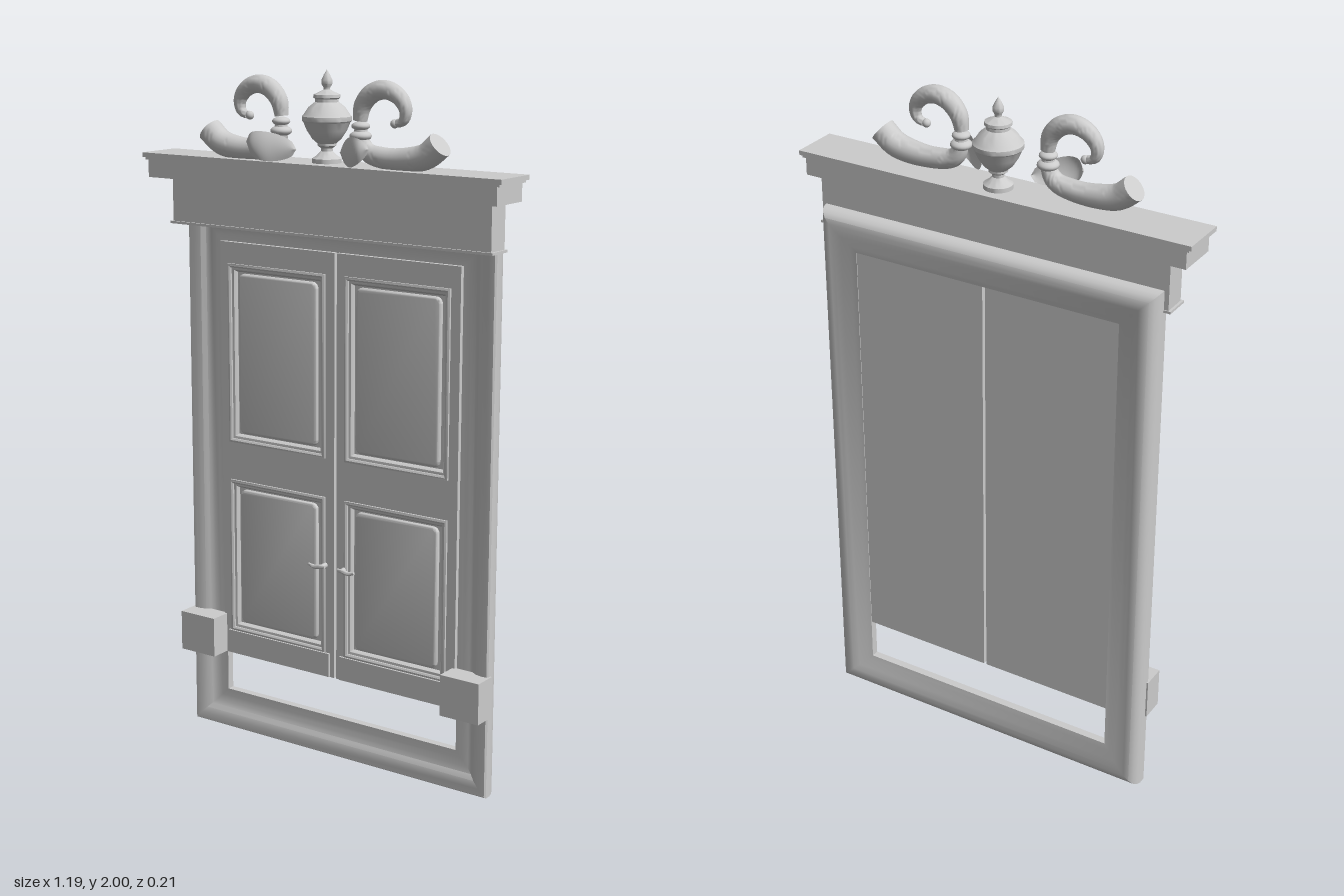
import * as THREE from 'three';
import { toCreasedNormals } from 'three/addons/utils/BufferGeometryUtils.js';

const stone = new THREE.MeshStandardMaterial({ color: 0xcccccc });
stone.name = 'pale grey';
const thinStone = new THREE.MeshStandardMaterial({ color: 0xcccccc, side: THREE.DoubleSide });
thinStone.name = 'pale grey thin';

function add(parent, name, geometry, material = stone) {
  const mesh = new THREE.Mesh(geometry, material);
  mesh.name = name;
  parent.add(mesh);
  return mesh;
}

// Box given by its limits on each axis
function block(parent, name, x0, x1, y0, y1, z0, z1) {
  const g = new THREE.BoxGeometry(x1 - x0, y1 - y0, z1 - z0);
  g.translate((x0 + x1) / 2, (y0 + y1) / 2, (z0 + z1) / 2);
  return add(parent, name, g);
}

// Closed profile of [inset, z] points swept round a rectangle with mitred corners
function moulding(x0, x1, y0, y1, profile) {
  const corner = (k, [d, z]) => [
    [x0 + d, y0 + d, z], [x1 - d, y0 + d, z], [x1 - d, y1 - d, z], [x0 + d, y1 - d, z]][k % 4];
  const pos = [];
  for (let k = 0; k < 4; k++) {
    profile.forEach((p, i) => {
      const q = profile[(i + 1) % profile.length];
      const a = corner(k, p), b = corner(k + 1, p), c = corner(k + 1, q), d = corner(k, q);
      pos.push(...a, ...b, ...c, ...a, ...c, ...d);
    });
  }
  const g = new THREE.BufferGeometry();
  g.setAttribute('position', new THREE.Float32BufferAttribute(pos, 3));
  return toCreasedNormals(g, 0.6);
}

// Tube whose radius follows a list, with flat closed ends
function taperedTube(points, radii, seg = 40, sides = 20) {
  const curve = new THREE.CatmullRomCurve3(points);
  const g = new THREE.TubeGeometry(curve, seg, 1, sides);
  const p = g.attributes.position, v = new THREE.Vector3();
  for (let i = 0; i <= seg; i++) {
    const from = curve.getPointAt(i / seg);
    const t = THREE.MathUtils.clamp((i - 1) / (seg - 2), 0, 1);
    const to = curve.getPointAt(t);
    const f = t * (radii.length - 1), n = Math.min(Math.floor(f), radii.length - 2);
    const r = i === 0 || i === seg ? 0 : THREE.MathUtils.lerp(radii[n], radii[n + 1], f - n);
    for (let j = 0; j <= sides; j++) {
      const k = i * (sides + 1) + j;
      v.fromBufferAttribute(p, k).sub(from).multiplyScalar(r).add(to);
      p.setXYZ(k, v.x, v.y, v.z);
    }
  }
  return toCreasedNormals(g, 0.8);
}

function rectPath(Type, x0, x1, y0, y1) {
  const r = new Type();
  r.moveTo(x0, y0).lineTo(x1, y0).lineTo(x1, y1).lineTo(x0, y1).closePath();
  return r;
}

// Rectangle with rounded corners
function roundRect(x0, x1, y0, y1, r) {
  const s = new THREE.Shape();
  s.moveTo(x0 + r, y0).lineTo(x1 - r, y0).absarc(x1 - r, y0 + r, r, -Math.PI / 2, 0);
  s.lineTo(x1, y1 - r).absarc(x1 - r, y1 - r, r, 0, Math.PI / 2);
  s.lineTo(x0 + r, y1).absarc(x0 + r, y1 - r, r, Math.PI / 2, Math.PI);
  s.lineTo(x0, y0 + r).absarc(x0 + r, y0 + r, r, Math.PI, Math.PI * 1.5);
  return s;
}

function buildDoor(parent, s) {
  const door = new THREE.Group();
  door.name = s > 0 ? 'leftDoor' : 'rightDoor';
  parent.add(door);
  const span = (a, b) => (s > 0 ? [a, b] : [-b, -a]);
  const [dx0, dx1] = span(0.004, 0.408);
  const [px0, px1] = span(0.034, 0.378);
  const rows = [[0.32, 0.79], [0.905, 1.435]];

  block(door, 'doorBack', dx0, dx1, 0.245, 1.497, -0.088, -0.066);
  // Stiles and rails around the panel openings
  const shape = rectPath(THREE.Shape, dx0, dx1, 0.245, 1.497);
  rows.forEach(([a, b]) => shape.holes.push(rectPath(THREE.Path, px0, px1, a, b)));
  const rails = new THREE.ExtrudeGeometry(shape, { depth: 0.012, bevelEnabled: false });
  add(door, 'stilesAndRails', rails.translate(0, 0, -0.066));

  rows.forEach(([a, b]) => {
    // Stepped moulding, then a raised field with rounded corners
    add(door, 'panelMoulding', moulding(px0, px1, a, b, [
      [0, -0.048], [0.006, -0.046], [0.011, -0.049], [0.011, -0.054], [0.018, -0.055],
      [0.024, -0.064], [0.024, -0.067], [0, -0.067]]));
    const field = new THREE.ExtrudeGeometry(
      roundRect(px0 + 0.04, px1 - 0.04, a + 0.035, b - 0.035, 0.012),
      { depth: 0.006, bevelThickness: 0.006, bevelSize: 0.007, bevelSegments: 3, curveSegments: 5 });
    add(door, 'panelField', toCreasedNormals(field.translate(0, 0, -0.066), 0.6));
  });

  const [kx0, kx1] = span(0.018, 0.39);
  block(door, 'kickRail', kx0, kx1, 0.247, 0.318, -0.056, -0.047);

  // Lever handle on a short stem
  const stem = new THREE.CylinderGeometry(0.006, 0.009, 0.024, 12).rotateX(Math.PI / 2);
  add(door, 'handleStem', stem.translate(s * 0.035, 0.585, -0.044));
  const at = (x, y) => new THREE.Vector3(s * x, y, -0.033);
  add(door, 'handleLever', taperedTube(
    [at(0.022, 0.587), at(0.04, 0.585), at(0.06, 0.582), at(0.08, 0.587)],
    [0.004, 0.007, 0.006, 0.004], 14, 10));
}

function buildScroll(parent, s) {
  const scroll = new THREE.Group();
  scroll.name = s > 0 ? 'leftScroll' : 'rightScroll';
  parent.add(scroll);
  const Z = 0.018;
  const path = (list) => list.map(([x, y]) => new THREE.Vector3(s * x, y, Z));

  // Horn widening toward its open end
  add(scroll, 'horn', taperedTube(
    path([[0.382, 1.822], [0.34, 1.79], [0.28, 1.777], [0.21, 1.777], [0.155, 1.79], [0.134, 1.82], [0.132, 1.85]]),
    [0.036, 0.035, 0.033, 0.03, 0.028, 0.024, 0.017]));
  // Curl above the horn
  add(scroll, 'curl', taperedTube(
    path([[0.13, 1.872], [0.138, 1.912], [0.168, 1.945], [0.21, 1.956], [0.252, 1.94], [0.274, 1.908],
      [0.268, 1.878], [0.248, 1.87]]),
    [0.019, 0.024, 0.026, 0.026, 0.024, 0.021, 0.016, 0.011]));
  const bead = add(scroll, 'curlTip', new THREE.SphereGeometry(0.012, 14, 10));
  bead.position.set(s * 0.24, 1.869, Z);
  // Collar between horn and curl
  [[1.832, 0.03], [1.858, 0.025]].forEach(([y, r]) => {
    const ring = add(scroll, 'collar', new THREE.SphereGeometry(r, 20, 12));
    ring.scale.y = 0.5;
    ring.position.set(s * 0.132, y, Z);
  });

  // Curled leaf in front of the horn
  const spine = new THREE.CatmullRomCurve3([[0.075, 0.034], [0.115, 0.066], [0.15, 0.094], [0.178, 0.101], [0.2, 0.088]]
    .map(([x, z]) => new THREE.Vector3(s * x, 0, z)));
  const leaf = new THREE.PlaneGeometry(1, 2, 18, 10);
  const p = leaf.attributes.position;
  for (let i = 0; i < p.count; i++) {
    const t = p.getX(i) + 0.5, v = p.getY(i), c = spine.getPoint(t);
    const half = 0.04 * Math.pow(Math.max(0, Math.sin(Math.PI * Math.pow(t, 0.85))), 0.55);
    p.setXYZ(i, c.x, 1.785 + 0.02 * t + v * half, c.z - 0.008 * v * v);
  }
  leaf.computeVertexNormals();
  add(scroll, 'leaf', leaf, thinStone);
}

export function createModel() {
  const model = new THREE.Group();
  model.name = 'doorway';

  // Surround: coved front, rounded back
  add(model, 'frame', moulding(-0.52, 0.52, 0.005, 1.605, [
    [0, -0.05], [0.004, -0.045], [0.024, -0.045], [0.042, -0.05], [0.056, -0.059], [0.07, -0.065],
    [0.09, -0.067], [0.112, -0.067], [0.112, -0.09], [0.095, -0.094], [0.07, -0.102], [0.05, -0.108],
    [0.036, -0.109], [0.022, -0.106], [0.01, -0.097], [0.003, -0.084], [0, -0.07]]));

  for (const s of [-1, 1]) {
    buildDoor(model, s);
    buildScroll(model, s);
    const [a, b] = s > 0 ? [0.4, 0.525] : [-0.525, -0.4];
    block(model, 'cornerBlock', a, b, 0.245, 0.365, -0.06, 0.01);
  }

  // Lintel and cornice
  block(model, 'friezeLip', -0.54, 0.54, 1.545, 1.552, -0.067, 0.01);
  block(model, 'frieze', -0.533, 0.533, 1.552, 1.68, -0.064, 0.004);
  block(model, 'cornice', -0.578, 0.578, 1.68, 1.73, -0.07, 0.057);
  block(model, 'corniceStep', -0.586, 0.586, 1.73, 1.737, -0.074, 0.06);
  block(model, 'corniceTop', -0.594, 0.594, 1.737, 1.75, -0.078, 0.064);

  // Urn with finial
  const urn = [[0, 1.75], [0.04, 1.75], [0.04, 1.762], [0.028, 1.77], [0.016, 1.782], [0.016, 1.79], [0.026, 1.797],
    [0.026, 1.803], [0.04, 1.815], [0.055, 1.838], [0.064, 1.86], [0.068, 1.864], [0.068, 1.876], [0.062, 1.882],
    [0.05, 1.9], [0.032, 1.914], [0.032, 1.922], [0.037, 1.926], [0.036, 1.934], [0.022, 1.94], [0.009, 1.947],
    [0.009, 1.952], [0.015, 1.962], [0.015, 1.972], [0.008, 1.987], [0, 2]].map(([r, y]) => new THREE.Vector2(r, y));
  add(model, 'urn', toCreasedNormals(new THREE.LatheGeometry(urn, 32), 0.6)).position.z = -0.012;

  return model;
}
